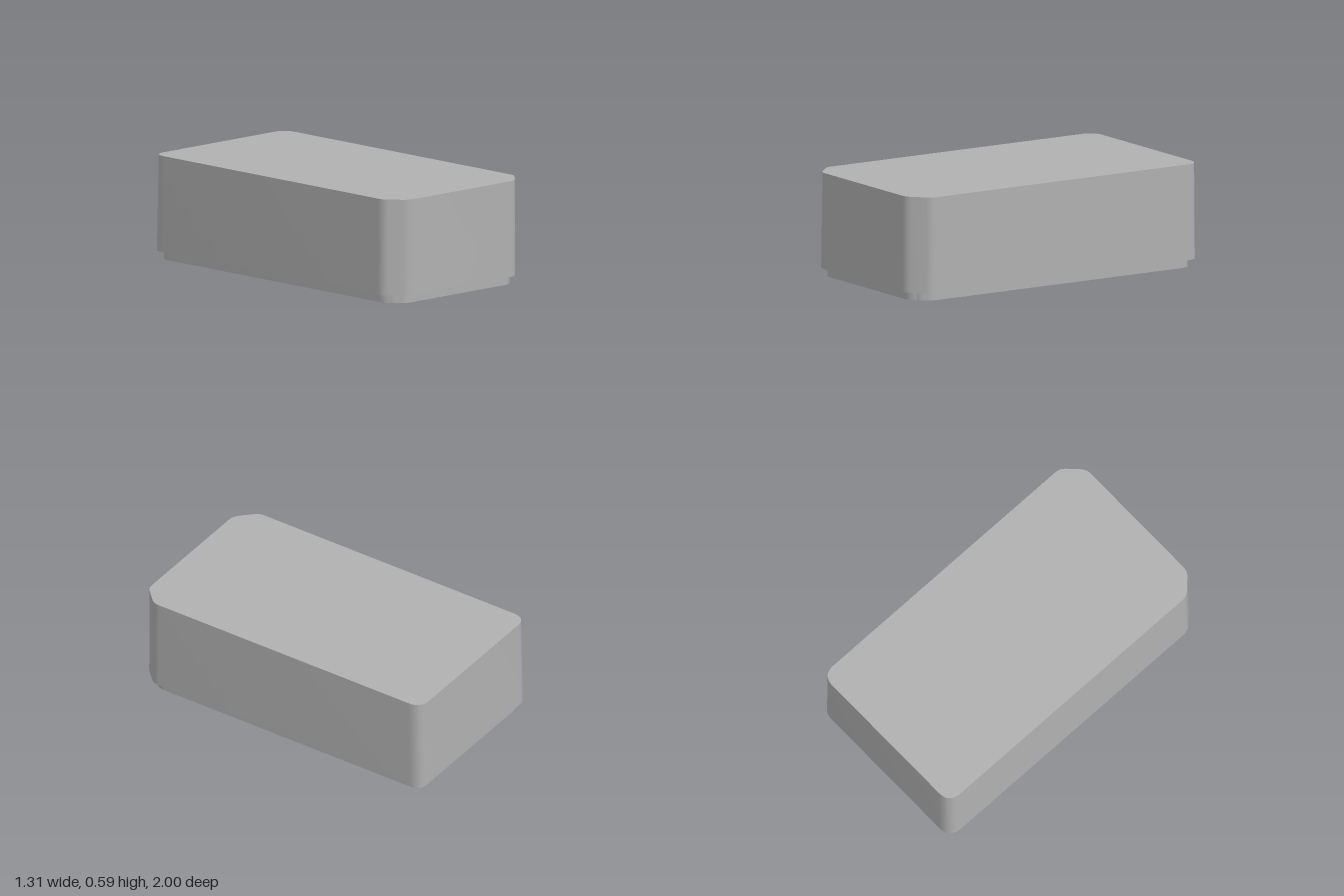
import * as THREE from 'three';
import { toCreasedNormals } from 'three/addons/utils/BufferGeometryUtils.js';

const W = 0.515, BACK = -0.935, FRONT = 0.948;
const FLOOR = 0.062, SHOULDER = 0.053, BOTTOM = 0.006, TOP = 0.587;

// Closed path through corners [x, z, cut], each corner rounded over its cut length
function rounded(corners, Type = THREE.Shape) {
  const path = new Type();
  const n = corners.length;
  corners.forEach(([x, z, cut], i) => {
    const p = new THREE.Vector2(x, z);
    const toward = (c) => new THREE.Vector2(c[0], c[1]).sub(p).setLength(cut).add(p);
    const a = toward(corners[(i + n - 1) % n]);
    const b = toward(corners[(i + 1) % n]);
    if (i === 0) path.moveTo(a.x, a.y); else path.lineTo(a.x, a.y);
    path.quadraticCurveTo(x, z, b.x, b.y);
  });
  path.closePath();
  return path;
}

// Case footprint: rounded back corners, softened chamfers at the front
function footprint(inset, Type) {
  const w = W - inset, b = BACK + inset, f = FRONT - inset;
  const c = 0.105 - inset * 0.586, r = 0.085 - inset * 0.5;
  return rounded([
    [-w, b, r], [w, b, r],
    [w, f - c, 0.035], [w - c, f, 0.035],
    [-w + c, f, 0.035], [-w, f - c, 0.035],
  ], Type);
}

function circle(x, z, r, Type = THREE.Shape) {
  const path = new Type();
  path.absarc(x, z, r, 0, Math.PI * 2, false);
  return path;
}

export function createModel() {
  const model = new THREE.Group();
  const grey = new THREE.MeshStandardMaterial({ color: 0xb0b0b0 });
  grey.name = 'grey casing';

  function add(name, geometry) {
    const mesh = new THREE.Mesh(toCreasedNormals(geometry, 0.5), grey);
    mesh.name = name;
    model.add(mesh);
    return mesh;
  }

  // Extrude a footprint shape (x, z) between two heights
  function slab(shape, low, high) {
    const g = new THREE.ExtrudeGeometry(shape, { depth: high - low, bevelEnabled: false, curveSegments: 12 });
    return g.rotateX(Math.PI / 2).translate(0, high, 0);
  }

  // Main casing with slight draft towards the top
  const body = slab(footprint(0), FLOOR, TOP);
  const pos = body.attributes.position;
  for (let i = 0; i < pos.count; i++) {
    if (pos.getY(i) > 0.3) {
      pos.setX(i, pos.getX(i) * 0.991);
      pos.setZ(i, pos.getZ(i) * 0.996);
    }
  }
  add('casing', body);

  // Shoulder and stepped lip around the open underside
  const shoulder = footprint(0);
  shoulder.holes.push(footprint(0.068, THREE.Path));
  add('shoulder', slab(shoulder, SHOULDER, FLOOR));
  const lip = footprint(0.032);
  lip.holes.push(footprint(0.068, THREE.Path));
  add('lip', slab(lip, BOTTOM, SHOULDER));

  for (const s of [-1, 1]) {
    const side = s > 0 ? 'left' : 'right';

    // Screw bosses
    for (const [end, z] of [['Back', -0.8], ['Front', 0.81]]) {
      const boss = circle(s * 0.39, z, 0.083);
      boss.holes.push(circle(s * 0.39, z, 0.05, THREE.Path));
      add(side + end + 'ScrewBoss', slab(boss, BOTTOM, FLOOR));
    }

    // Corner web with a concave arc, screw hole and pocket
    const web = new THREE.Shape();
    web.moveTo(s * 0.455, -0.63);
    const start = Math.asin(0.334 / 0.364);
    for (let i = 0; i <= 14; i++) {
      const a = start * (1 - i / 14);
      web.lineTo(s * 0.364 * Math.sin(a), -0.486 - 0.364 * Math.cos(a));
    }
    web.lineTo(0, -0.87);
    web.lineTo(s * 0.455, -0.87);
    web.closePath();
    const pocket = new THREE.Path([
      [0.44, -0.665], [0.355, -0.665], [0.285, -0.745], [0.19, -0.82], [0.19, -0.85],
      [0.29, -0.85], [0.29, -0.74], [0.33, -0.70], [0.44, -0.70],
    ].map(([x, z]) => new THREE.Vector2(s * x, z)));
    web.holes.push(pocket, circle(s * 0.39, -0.8, 0.05, THREE.Path));
    add(side + 'CornerWeb', slab(web, BOTTOM + 0.008, FLOOR));

    // Short rib on the side wall
    const rib = add(side + 'Rib', new THREE.BoxGeometry(0.1, 0.045, 0.03));
    rib.position.set(s * 0.41, FLOOR - 0.022, -0.42);
  }

  // Small locating ring on the recessed panel
  const ring = circle(0.25, -0.22, 0.025);
  ring.holes.push(circle(0.25, -0.22, 0.014, THREE.Path));
  add('locatingRing', slab(ring, FLOOR - 0.012, FLOOR));

  // The case sits turned and very slightly tilted
  const turned = new THREE.Group();
  model.name = 'enclosure';
  model.rotation.set(0, THREE.MathUtils.degToRad(10), -0.0095, 'ZYX');
  turned.add(model);
  return turned;
}
